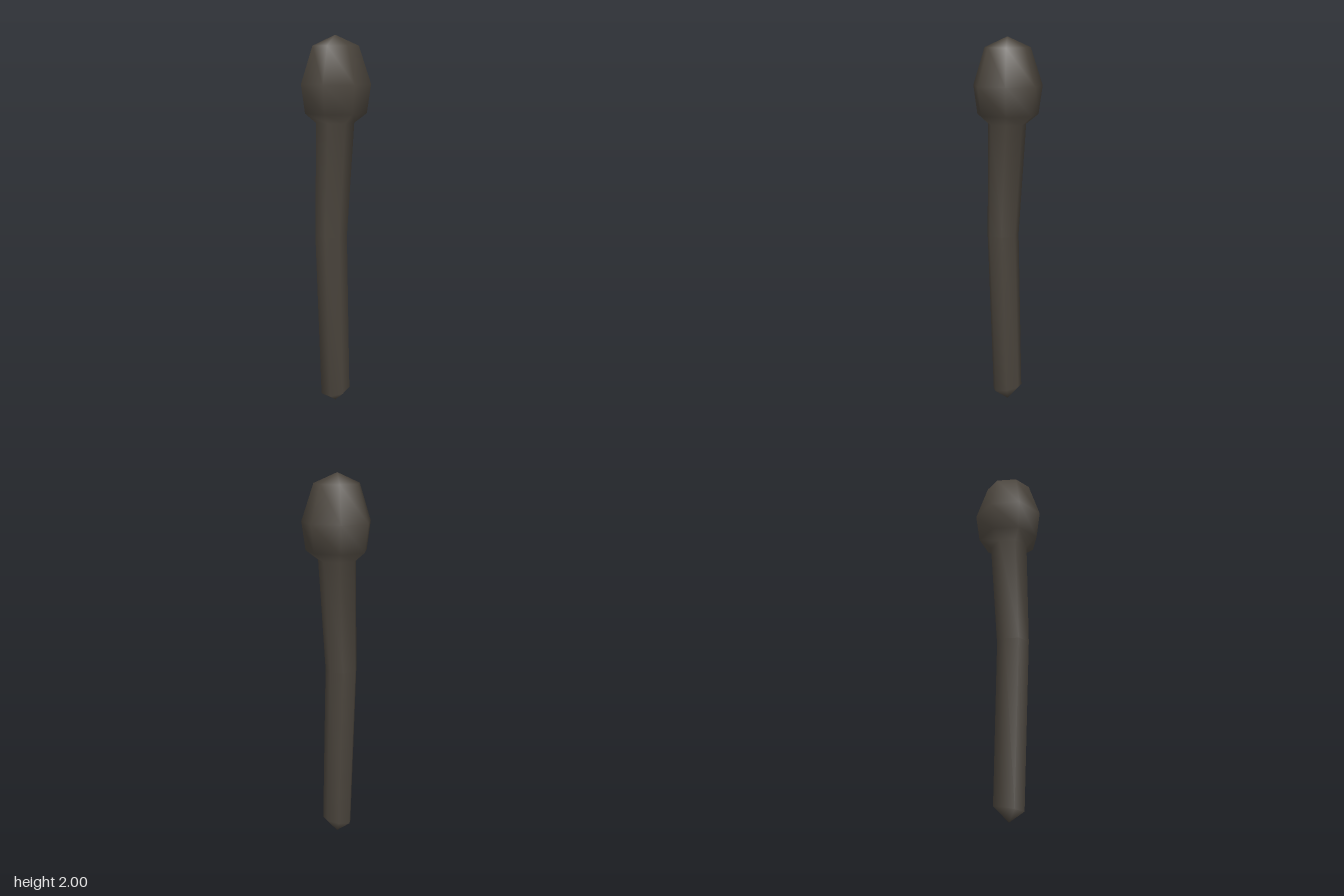
import * as THREE from 'three';

const SIDES = 7;

// Cross-sections from bottom to top: height, radius, z offset, tilt (rise towards the back)
const RINGS = [
  { y: 0.066, r: 0.080, z: 0.011, tilt: 0.25 },
  { y: 0.95, r: 0.087, z: 0.043, tilt: 0 },
  { y: 1.55, r: 0.103, z: 0.013, tilt: 0 },
  { y: 1.60, r: 0.166, z: 0.009, tilt: 0 },
  { y: 1.75, r: 0.187, z: 0.009, tilt: 0 },
  { y: 1.945, r: 0.123, z: 0.010, tilt: 0 },
];
const NECK = 2; // ring where the handle meets the head

export function createModel() {
  const group = new THREE.Group();
  group.name = 'club';
  const darkWood = new THREE.MeshStandardMaterial({ color: 0x4a443c });
  darkWood.name = 'darkWood';

  // Seven-sided rings with a corner at the back, plus a point at each end
  const points = [];
  for (const { y, r, z, tilt } of RINGS) {
    for (let j = 0; j < SIDES; j++) {
      const a = (j / SIDES) * Math.PI * 2;
      const back = r * Math.cos(a);
      points.push(r * Math.sin(a), y + back * tilt, z - back);
    }
  }
  const bottom = RINGS.length * SIDES;
  const top = bottom + 1;
  points.push(0, 0, 0.01, 0, 2, 0.01);

  // Faces of the handle and of the head
  const handle = [];
  const head = [];
  const last = (RINGS.length - 1) * SIDES;
  for (let j = 0; j < SIDES; j++) {
    const k = (j + 1) % SIDES;
    handle.push(bottom, j, k);
    head.push(top, last + k, last + j);
    for (let i = 0; i < RINGS.length - 1; i++) {
      const lo = i * SIDES;
      const hi = lo + SIDES;
      (i < NECK ? handle : head).push(lo + j, hi + j, hi + k, lo + j, hi + k, lo + k);
    }
  }

  // Smooth normals are computed over the whole body so the neck has no seam
  const body = new THREE.BufferGeometry();
  body.setAttribute('position', new THREE.Float32BufferAttribute(points, 3));
  body.setIndex([...handle, ...head]);
  body.computeVertexNormals();

  const addPart = (name, index) => {
    const geometry = body.clone();
    geometry.setIndex(index);
    const mesh = new THREE.Mesh(geometry, darkWood);
    mesh.name = name;
    group.add(mesh);
  };
  addPart('handle', handle);
  addPart('head', head);

  return group;
}
